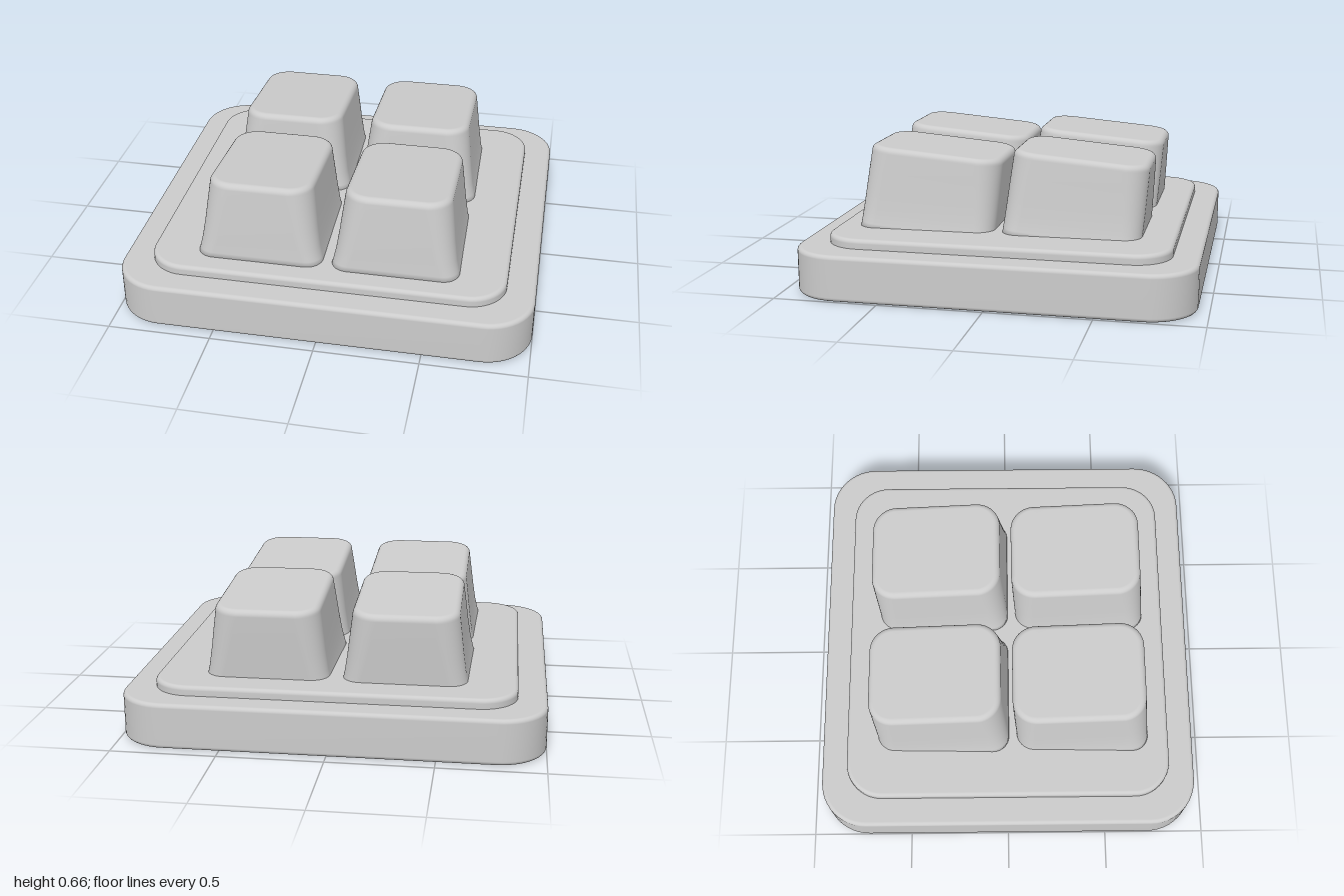
import * as THREE from 'three';

const material = new THREE.MeshStandardMaterial({ color: 0xcccccc });

// Rounded rectangle outline as [x, z] pairs, running from +x towards +z
function outline(hx, hz, r, steps = 12) {
  const points = [];
  const corners = [[1, 1], [-1, 1], [-1, -1], [1, -1]];
  corners.forEach(([sx, sz], quarter) => {
    for (let i = 0; i <= steps; i++) {
      const a = (quarter + i / steps) * Math.PI / 2;
      points.push([sx * (hx - r) + r * Math.cos(a), sz * (hz - r) + r * Math.sin(a)]);
    }
  });
  return points;
}

// Closed smooth solid through rounded-rectangle levels, listed bottom to top
function loft(name, levels) {
  const positions = [];
  const index = [];
  const rings = levels.map(({ hx, hz, r }) => outline(hx, hz, r));
  const n = rings[0].length;
  rings.forEach((ring, i) => ring.forEach(([x, z]) => positions.push(x, levels[i].y, z)));
  const bottom = n * levels.length;
  const top = bottom + 1;
  positions.push(0, levels[0].y, 0, 0, levels[levels.length - 1].y, 0);
  for (let j = 0; j < n; j++) {
    const k = (j + 1) % n;
    for (let i = 0; i < levels.length - 1; i++) {
      const a = i * n + j, b = i * n + k;
      index.push(a, a + n, b, b, a + n, b + n);
    }
    const last = (levels.length - 1) * n;
    index.push(bottom, j, k, top, last + k, last + j);
  }
  const geometry = new THREE.BufferGeometry();
  geometry.setAttribute('position', new THREE.Float32BufferAttribute(positions, 3));
  geometry.setIndex(index);
  geometry.computeVertexNormals();
  const mesh = new THREE.Mesh(geometry, material);
  mesh.name = name;
  return mesh;
}

// Quarter-round edge that closes a level upwards (dir 1) or downwards (dir -1)
function roundEdge({ hx, hz, r, y }, bevel, dir, steps = 6) {
  const levels = [];
  for (let i = 0; i <= steps; i++) {
    const a = i / steps * Math.PI / 2;
    const inset = bevel * (1 - Math.cos(a));
    levels.push({
      hx: hx - inset, hz: hz - inset, r: r - inset,
      y: y + dir * bevel * (Math.sin(a) - 1),
    });
  }
  return dir > 0 ? levels : levels.reverse();
}

function slab(name, hx, hz, r, y0, y1, bevel) {
  const size = { hx, hz, r };
  return loft(name, [
    ...roundEdge({ ...size, y: y0 }, bevel, -1),
    ...roundEdge({ ...size, y: y1 }, bevel, 1),
  ]);
}

// Keycap: sides flare in x towards the bottom, origin at the top centre
function keycap(name) {
  return loft(name, [
    { y: -0.42, hx: 0.316, hz: 0.334, r: 0.08 },
    { y: -0.37, hx: 0.302, hz: 0.333, r: 0.085 },
    { y: -0.31, hx: 0.289, hz: 0.332, r: 0.09 },
    { y: -0.22, hx: 0.276, hz: 0.331, r: 0.1 },
    { y: -0.12, hx: 0.264, hz: 0.329, r: 0.11 },
    ...roundEdge({ y: 0, hx: 0.253, hz: 0.327, r: 0.12 }, 0.03, 1),
  ]);
}

export function createModel() {
  const model = new THREE.Group();
  model.name = 'keypad';

  // Stepped base
  model.add(slab('base', 1, 0.948, 0.23, 0, 0.22, 0.02));
  model.add(slab('raisedPlate', 0.862, 0.82, 0.18, 0.18, 0.266, 0.02));

  // Two by two keys, each leaning back
  for (const [row, z] of [['front', 0.348], ['back', -0.36]]) {
    for (const [side, x] of [['Left', 0.329], ['Right', -0.329]]) {
      const key = keycap(`${row}${side}Key`);
      key.position.set(x, 0.63, z);
      key.rotation.x = -0.087;
      model.add(key);
    }
  }
  return model;
}
